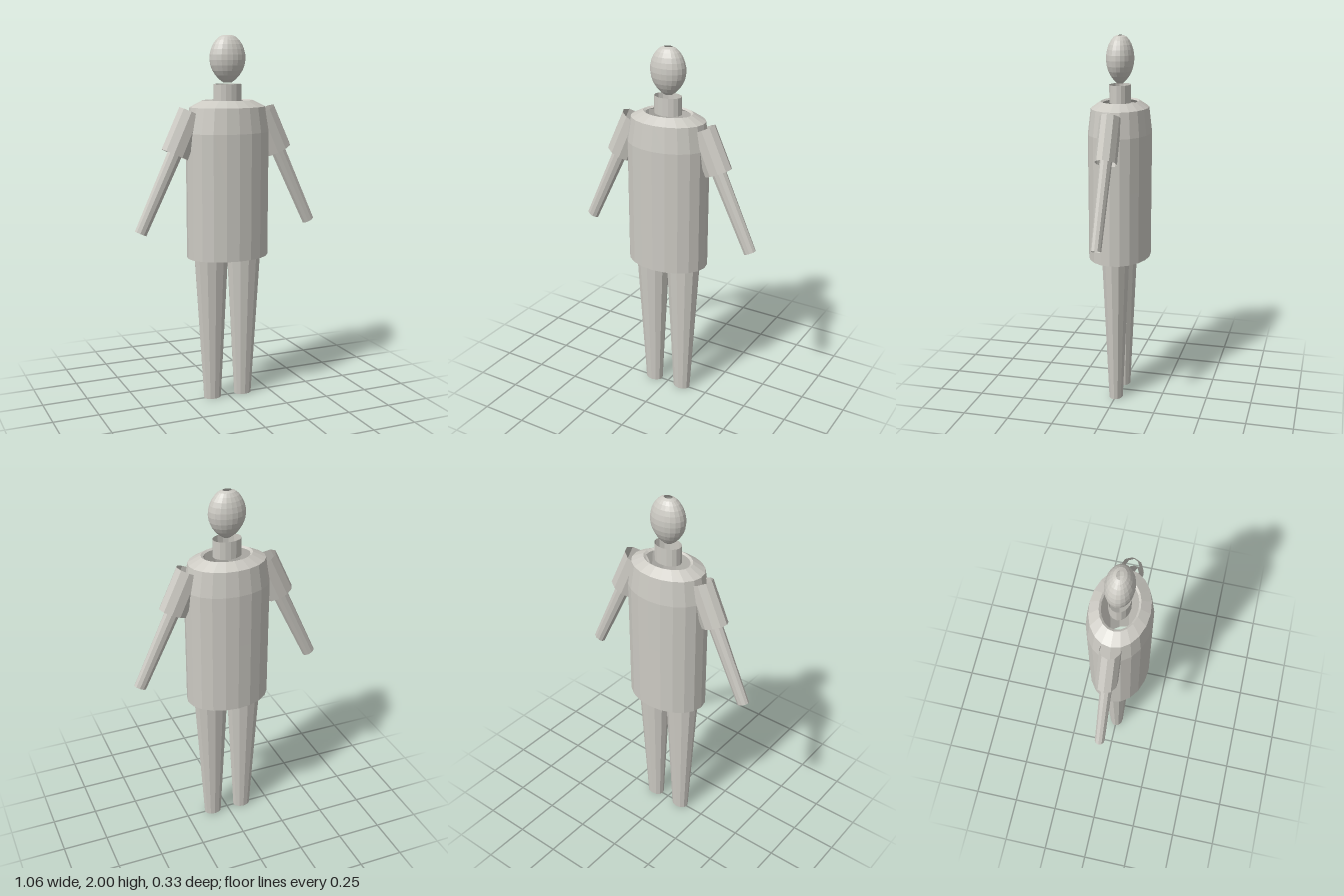
import * as THREE from 'three';

const skin = new THREE.MeshStandardMaterial({ color: 0xcccac3, flatShading: true, side: THREE.DoubleSide });
skin.name = 'warmGrey';

// Flattened turned shape; profile is [radius, y] from bottom to top
function turned(name, profile, depth, sides) {
  const geo = new THREE.LatheGeometry(profile.map(([r, y]) => new THREE.Vector2(r, y)), sides);
  geo.scale(1, 1, depth);
  const mesh = new THREE.Mesh(geo, skin);
  mesh.name = name;
  return mesh;
}

// Open elliptical tube from a lower centre to an upper centre in the xy plane
function limb(name, low, lowR, high, highR, depth, sides = 10) {
  const dx = high[0] - low[0], dy = high[1] - low[1];
  const geo = new THREE.CylinderGeometry(highR, lowR, Math.hypot(dx, dy), sides, 1, true);
  geo.rotateY(Math.PI / 2);
  geo.scale(1, 1, depth);
  const mesh = new THREE.Mesh(geo, skin);
  mesh.rotation.z = -Math.atan2(dx, dy);
  mesh.position.set((low[0] + high[0]) / 2, (low[1] + high[1]) / 2, 0);
  mesh.name = name;
  return mesh;
}

export function createModel() {
  const model = new THREE.Group();
  model.name = 'figure';

  // Open-bottomed torso with sloping shoulders and a collar opening
  model.add(turned('torso', [
    [0.23, 0.81], [0.231, 1.2], [0.232, 1.49], [0.21, 1.625], [0.14, 1.66], [0.126, 1.652],
  ], 0.72, 20));

  model.add(limb('neck', [0, 1.65], 0.077, [0, 1.745], 0.077, 0.73, 16));

  // Egg-shaped head, open at the crown
  model.add(turned('head', [
    [0.022, 1.752], [0.045, 1.768], [0.066, 1.79], [0.083, 1.815], [0.094, 1.842], [0.099, 1.872],
    [0.098, 1.9], [0.091, 1.928], [0.08, 1.953], [0.064, 1.975], [0.045, 1.992], [0.024, 2.0],
  ], 0.73, 20));

  // Mirrored arms and legs
  for (const [side, s] of [['left', 1], ['right', -1]]) {
    model.add(
      limb(side + 'Sleeve', [s * 0.302, 1.38], 0.08, [s * 0.203, 1.598], 0.078, 0.7),
      limb(side + 'Forearm', [s * 0.498, 0.971], 0.035, [s * 0.299, 1.39], 0.042, 0.75),
      limb(side + 'Leg', [s * 0.092, 0], 0.05, [s * 0.097, 0.82], 0.097, 0.76, 12),
    );
  }
  return model;
}
